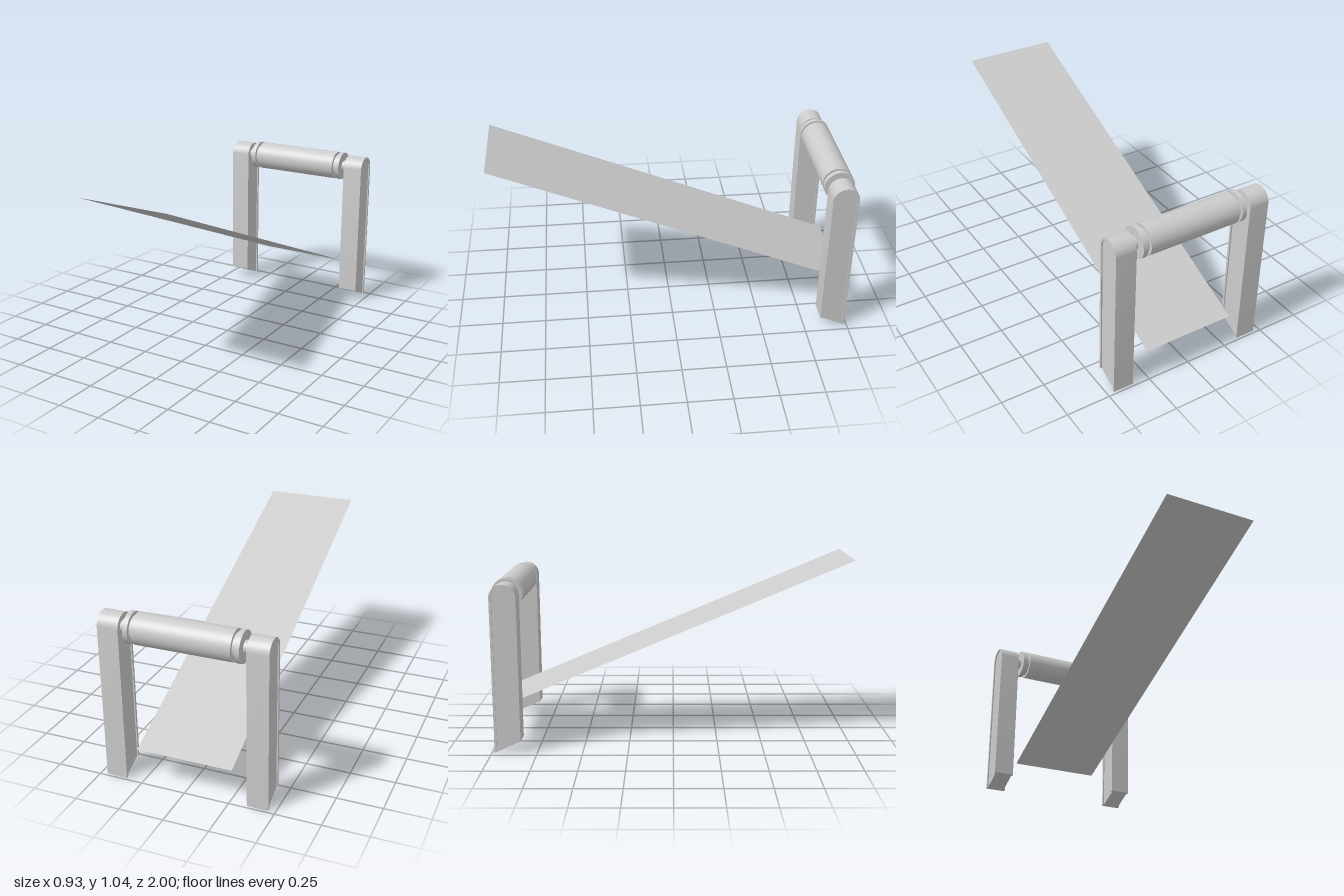
import * as THREE from 'three';
import { toCreasedNormals } from 'three/addons/utils/BufferGeometryUtils.js';

const AXIS_Y = 0.865, AXIS_Z = -0.9125;
const LEG_R = 0.0725, RIM = 0.013, SLOPE = 0.065 / 0.145;

export function createModel() {
  const group = new THREE.Group();
  const grey = new THREE.MeshStandardMaterial({ color: 0xcccccc });
  const sheetGrey = new THREE.MeshStandardMaterial({ color: 0xcccccc, side: THREE.DoubleSide });

  const add = (name, geometry, material = grey) => {
    const mesh = new THREE.Mesh(geometry, material);
    mesh.name = name;
    group.add(mesh);
    return mesh;
  };

  // Cylinder along x, between two x positions
  const rod = (name, x0, x1, radius) => {
    const geometry = new THREE.CylinderGeometry(radius, radius, x1 - x0, 48).rotateZ(Math.PI / 2);
    add(name, geometry).position.set((x0 + x1) / 2, AXIS_Y, AXIS_Z);
  };

  // Height of the slanted foot at an offset behind the leg's centre line
  const footY = (u) => (LEG_R - u) * SLOPE - AXIS_Y;

  // Leg outline: slanted foot, straight sides, round top (u points backwards)
  const webShape = (r) => {
    const s = new THREE.Shape();
    s.moveTo(-r, footY(-r));
    s.lineTo(r, footY(r));
    s.lineTo(r, 0);
    s.absarc(0, 0, r, 0, Math.PI, false);
    s.closePath();
    return s;
  };

  // Arch-shaped rim, open at the foot
  const rimShape = (r, inner) => {
    const s = new THREE.Shape();
    s.moveTo(r, footY(r));
    s.lineTo(r, 0);
    s.absarc(0, 0, r, 0, Math.PI, false);
    s.lineTo(-r, footY(-r));
    s.lineTo(-inner, footY(-inner));
    s.lineTo(-inner, 0);
    s.absarc(0, 0, inner, Math.PI, 0, true);
    s.lineTo(inner, footY(inner));
    s.closePath();
    return s;
  };

  const slab = (name, shape, xCentre, width) => {
    let geometry = new THREE.ExtrudeGeometry(shape, { depth: width, bevelEnabled: false, curveSegments: 24 });
    geometry.translate(0, 0, -width / 2).rotateY(Math.PI / 2);
    geometry = toCreasedNormals(geometry, 0.5);
    add(name, geometry).position.set(xCentre, AXIS_Y, AXIS_Z);
  };

  // Legs, roller collars and stub shafts on both sides
  for (const [side, label] of [[1, 'left'], [-1, 'right']]) {
    slab(label + 'LegRim', rimShape(LEG_R, LEG_R - RIM), side * 0.404, 0.118);
    slab(label + 'LegWeb', webShape(LEG_R - RIM), side * 0.404, 0.104);
    const sideRod = (name, a, b, r) => rod(label + name, Math.min(side * a, side * b), Math.max(side * a, side * b), r);
    sideRod('RollerNeck', 0.268, 0.286, 0.067);
    sideRod('RollerFlange', 0.286, 0.313, 0.085);
    sideRod('Shaft', 0.313, 0.354, 0.035);
  }

  // Roller
  rod('roller', -0.268, 0.268, 0.085);

  // Thin sloping sheet, low at the back and high at the front
  const zBack = -0.995, zFront = 1, yBack = 0.2, yFront = 1.04;
  const length = Math.hypot(zFront - zBack, yFront - yBack);
  const sheet = add('sheet', new THREE.PlaneGeometry(0.536, length).rotateX(-Math.PI / 2), sheetGrey);
  sheet.position.set(0, (yBack + yFront) / 2, (zBack + zFront) / 2);
  sheet.rotation.x = -Math.atan2(yFront - yBack, zFront - zBack);

  return group;
}
